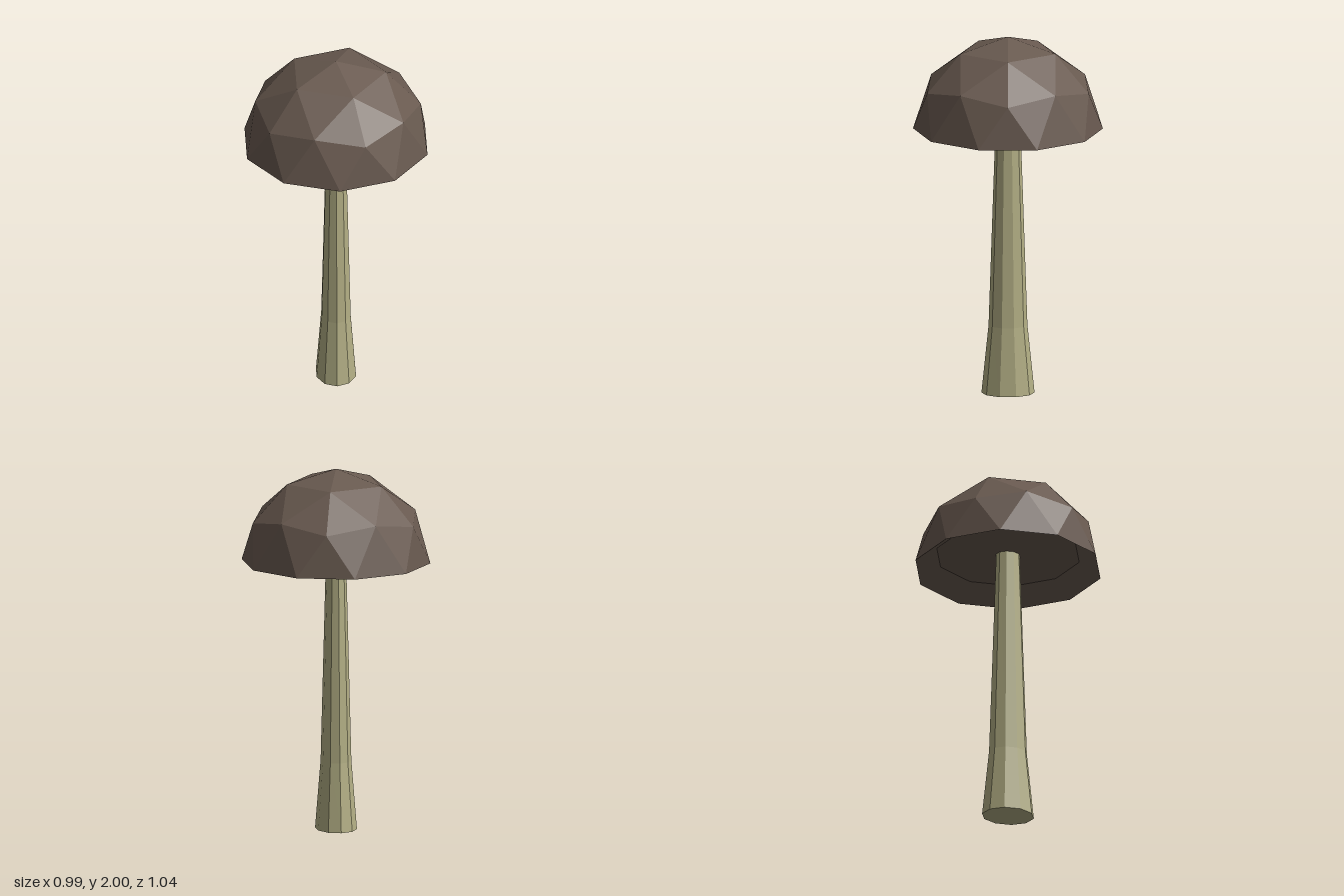
import * as THREE from 'three';

// Ring of n points; radii alternate through the given [radius, height] pairs
function ring(n, start, pairs, rx = 1, rz = 1) {
  return Array.from({ length: n }, (_, i) => {
    const a = start + (i / n) * Math.PI * 2;
    const [r, y] = pairs[i % pairs.length];
    return new THREE.Vector3(Math.cos(a) * r * rx, y, Math.sin(a) * r * rz);
  });
}

// Flat-shaded mesh from a list of triangle corners
function facetMesh(name, points, material) {
  const geometry = new THREE.BufferGeometry().setFromPoints(points);
  geometry.computeVertexNormals();
  const mesh = new THREE.Mesh(geometry, material);
  mesh.name = name;
  return mesh;
}

// Band between two equal rings (facing outward when "upper" is above "lower")
function band(out, upper, lower) {
  const n = upper.length;
  for (let i = 0; i < n; i++) {
    const j = (i + 1) % n;
    out.push(upper[i], upper[j], lower[i], upper[j], lower[j], lower[i]);
  }
}

// Fan closing a ring, facing up or down
function fan(out, centre, edge, up) {
  edge.forEach((p, i) => {
    const q = edge[(i + 1) % edge.length];
    out.push(centre, up ? q : p, up ? p : q);
  });
}

export function createModel() {
  const brown = new THREE.MeshStandardMaterial({ name: 'cap brown', color: 0x695a50, flatShading: true });
  const cream = new THREE.MeshStandardMaterial({ name: 'stem cream', color: 0xb3af85, flatShading: true });
  const model = new THREE.Group();
  model.name = 'mushroom';

  // Cap dome: upper half of a faceted sphere
  const R = 0.518, base = 1.485, H = 0.515;
  const at = (r, h) => [r * R, base + h * H];
  const pole = new THREE.Vector3(0, base + H, 0);
  const A = ring(5, 0, [at(0.526, 0.851)]);
  const B = ring(10, 0, [at(0.894, 0.447), at(0.851, 0.526)]);
  const C = ring(10, Math.PI / 10, [at(1, 0)]);
  const dome = [];
  fan(dome, pole, A, true);
  for (let k = 0; k < 5; k++) {
    const next = A[(k + 1) % 5], mid = B[2 * k + 1];
    dome.push(A[k], next, mid);
    dome.push(A[k], mid, B[2 * k]);
    dome.push(A[k], B[2 * k], B[(2 * k + 9) % 10]);
  }
  for (let j = 0; j < 10; j++) {
    dome.push(B[j], B[(j + 1) % 10], C[j]);
    dome.push(B[j], C[j], C[(j + 9) % 10]);
  }
  model.add(facetMesh('capDome', dome, brown));

  // Recessed underside: sloping inner wall and flat ceiling
  const ceilingY = 1.57;
  const D = ring(10, Math.PI / 10, [[R * 0.77, ceilingY]]);
  const under = [];
  band(under, C, D);
  fan(under, new THREE.Vector3(0, ceilingY, 0), D, false);
  model.add(facetMesh('capUnderside', under, brown));

  // Stem: ten-sided oval column that flares at the foot [y, half x, half z]
  const levels = [[0, 0.113, 0.145], [0.38, 0.083, 0.106], [ceilingY, 0.053, 0.066]];
  const rings = levels.map(([y, rx, rz]) => ring(10, Math.PI / 10, [[1, y]], rx, rz));
  const stem = [];
  band(stem, rings[1], rings[0]);
  band(stem, rings[2], rings[1]);
  fan(stem, new THREE.Vector3(0, 0, 0), rings[0], false);
  model.add(facetMesh('stem', stem, cream));

  return model;
}
